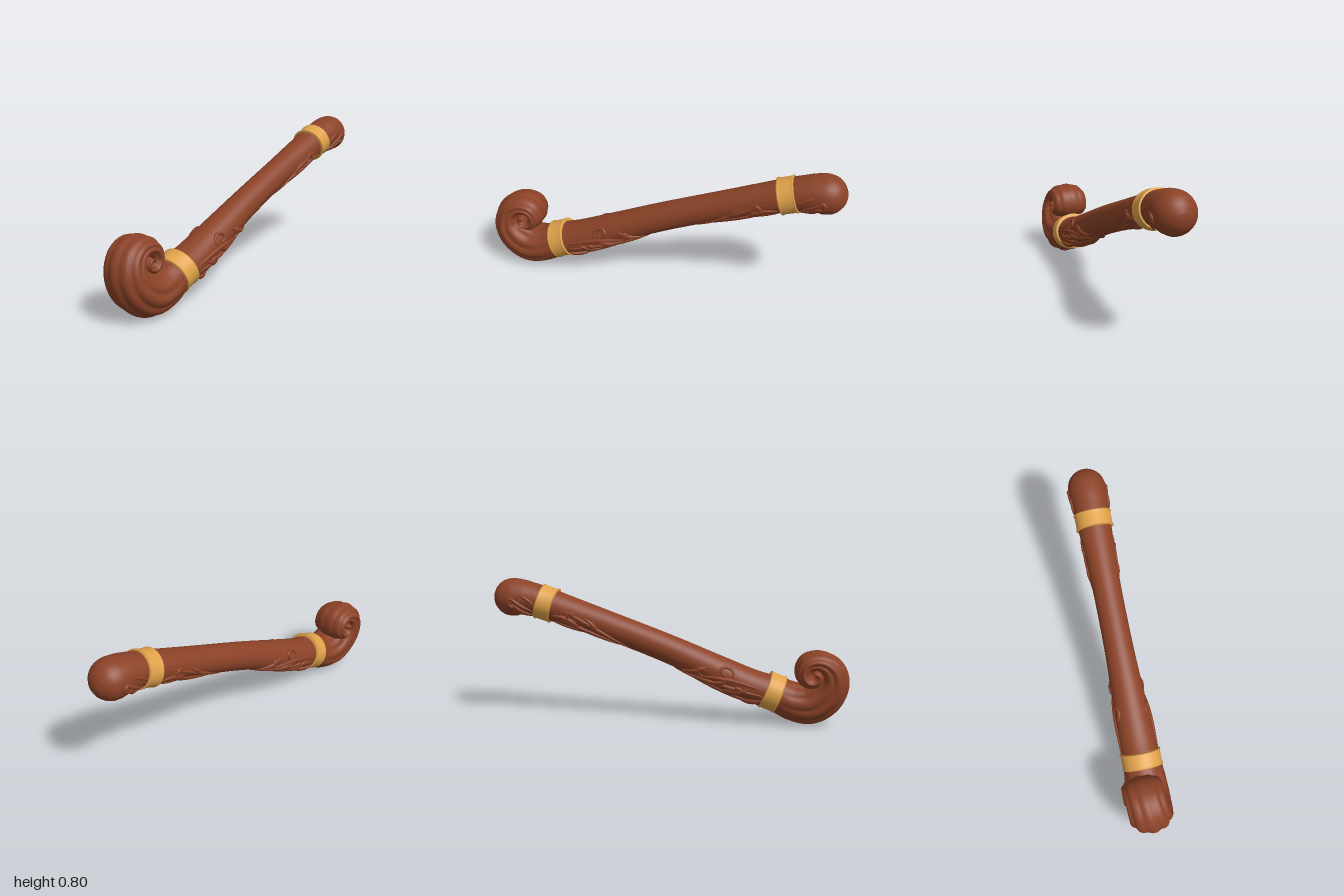
import * as THREE from 'three';

const wood = new THREE.MeshStandardMaterial({ color: 0x8b4227 });
wood.name = 'carved wood';
const brass = new THREE.MeshStandardMaterial({ color: 0xe0a24a });
brass.name = 'brass';

// Stations along the staff: x, y, z, in-plane radius, z radius, flute depth
const stations = [];
// Scroll, winding outward from its eye
for (let k = 0; k <= 8; k++) {
  const t = k / 8, angle = (30 + 444 * t) * Math.PI / 180, r = 0.004 + 0.07 * t;
  stations.push([-0.8 + r * Math.cos(angle), 0.297 + r * Math.sin(angle), -0.03,
    0.001 + 0.057 * Math.pow(t, 0.8), 0.114 - 0.008 * t, 0.06 * t]);
}
// Crook
stations.push(
  [-0.888, 0.325, -0.024, 0.074, 0.11, 0.06],
  [-0.905, 0.255, -0.013, 0.092, 0.117, 0.06],
  [-0.872, 0.18, -0.003, 0.11, 0.122, 0.06],
  [-0.79, 0.124, 0.005, 0.117, 0.121, 0.06],
  [-0.7, 0.127, 0.01, 0.108, 0.116, 0.04]);
const shaftStart = stations.length - 1;
// Shaft
stations.push(
  [-0.6, 0.168, 0.01, 0.098, 0.108, 0],
  [-0.48, 0.205, 0.009, 0.092, 0.104, 0],
  [-0.25, 0.302, 0.007, 0.086, 0.093, 0],
  [0, 0.41, 0.006, 0.08, 0.082, 0],
  [0.33, 0.535, 0.005, 0.079, 0.08, 0],
  [0.55, 0.612, 0.005, 0.083, 0.088, 0],
  [0.7, 0.66, 0.006, 0.09, 0.096, 0],
  [0.78, 0.684, 0.007, 0.092, 0.1, 0]);
// Knob, rounded like a ball
stations.push([0.84, 0.694, 0.007, 0.1, 0.105, 0]);
for (const deg of [0, 25, 45, 65, 78, 90]) {
  const a = deg * Math.PI / 180, r = Math.max(0.001, 0.107 * Math.cos(a));
  stations.push([0.887 + 0.107 * Math.sin(a), 0.693 - 0.02 * Math.sin(a), 0.007, r, r, 0]);
}
const centre = new THREE.CatmullRomCurve3(stations.map(s => new THREE.Vector3(s[0], s[1], s[2])));
const radii = new THREE.CatmullRomCurve3(
  stations.map(s => new THREE.Vector3(s[3], s[4], s[5])), false, 'catmullrom', 0.5);

// Point on the staff's surface: angle 0 is the top, PI / 2 the front, PI the underside
function surfacePoint(t, angle) {
  const c = centre.getPoint(t), r = radii.getPoint(t), d = centre.getTangent(t);
  const len = Math.hypot(d.x, d.y) || 1;
  const flute = 1 + r.z * (Math.abs(Math.cos(5 * angle + t * 9)) - 0.6) * 1.6;
  const a = Math.max(r.x, 0.0005) * flute * Math.cos(angle);
  const b = Math.max(r.y, 0.0005) * flute * Math.sin(angle);
  return new THREE.Vector3(c.x - d.y / len * a, c.y + d.x / len * a, c.z + b);
}

// Grid of cross-section loops, closed around
function loft(rows, cols) {
  const pos = [], index = [];
  for (let i = 0; i <= rows; i++) {
    for (let j = 0; j < cols; j++) {
      pos.push(...surfacePoint(i / rows, j / cols * Math.PI * 2).toArray());
      if (i === rows) continue;
      const a = i * cols + j, b = i * cols + (j + 1) % cols;
      index.push(a, b, a + cols, b, b + cols, a + cols);
    }
  }
  const g = new THREE.BufferGeometry();
  g.setAttribute('position', new THREE.Float32BufferAttribute(pos, 3));
  g.setIndex(index);
  g.computeVertexNormals();
  return g;
}

// Curve parameter of the shaft at a given x
function paramAtX(x) {
  let lo = shaftStart / (stations.length - 1), hi = 1;
  for (let i = 0; i < 30; i++) {
    const mid = (lo + hi) / 2;
    if (centre.getPoint(mid).x < x) lo = mid; else hi = mid;
  }
  return lo;
}

// Raised tapering strand following [x, angle in degrees] points on the shaft
function strand(points, width, side) {
  const path = new THREE.CatmullRomCurve3(points.map(([x, deg]) =>
    surfacePoint(paramAtX(x), side * deg * Math.PI / 180)));
  const rows = 32, cols = 10;
  const g = new THREE.TubeGeometry(path, rows, 1, cols);
  const p = g.attributes.position, v = new THREE.Vector3();
  for (let i = 0; i < p.count; i++) {
    const t = Math.floor(i / (cols + 1)) / rows;
    const c = path.getPointAt(t);
    const w = width * Math.pow(Math.sin(Math.PI * (0.02 + 0.96 * t)), 0.7);
    v.fromBufferAttribute(p, i).sub(c).multiplyScalar(w).add(c);
    p.setXYZ(i, v.x, v.y, v.z);
  }
  g.computeVertexNormals();
  return g;
}

// Leaf line from one point to another, bowed around the shaft
const leaf = (x0, deg0, x1, deg1, bow) => Array.from({ length: 7 }, (_, i) => {
  const t = i / 6;
  return [x0 + (x1 - x0) * t, deg0 + (deg1 - deg0) * t + bow * Math.sin(Math.PI * t)];
});

// Spiral tendril
const curl = (x, deg, size, turn) => Array.from({ length: 12 }, (_, i) => {
  const a = i * 0.62 * turn + 2.6, r = size * (1 - i / 14);
  return [x + r * Math.cos(a), deg + r * Math.sin(a) * 620];
});

// Leaves: x and angle at each end, bow, width
const lowerLeaves = [
  [-0.06, 172, -0.53, 100, -8, 0.014],
  [-0.12, 176, -0.52, 140, 4, 0.015],
  [-0.16, 140, -0.53, 80, -18, 0.012],
  [-0.1, 142, -0.22, 76, 10, 0.013],
  [-0.24, 140, -0.35, 86, 10, 0.016],
  [-0.33, 146, -0.45, 94, 10, 0.017],
  [-0.42, 156, -0.53, 118, 6, 0.017],
  [-0.28, 165, -0.5, 174, 4, 0.012],
];
const upperLeaves = [
  [0.2, 150, 0.6, 82, -4, 0.011],
  [0.25, 160, 0.63, 112, 4, 0.013],
  [0.36, 128, 0.47, 86, -6, 0.012],
  [0.46, 142, 0.64, 120, -18, 0.013],
  [0.44, 168, 0.63, 150, 0, 0.011],
];
const knobLeaves = [
  [0.74, 128, 0.89, 82, 8, 0.011],
  [0.73, 150, 0.87, 106, 14, 0.014],
  [0.74, 98, 0.83, 76, 0, 0.01],
];
// Tendrils: x, angle, size, winding direction
const tendrils = [
  [-0.31, 72, 0.045, 1],
  [-0.2, 104, 0.034, -1],
  [-0.4, 122, 0.032, 1],
  [0.53, 96, 0.035, -1],
  [0.87, 100, 0.03, -1],
];

export function createModel() {
  const model = new THREE.Group();
  model.name = 'carvedStaff';
  const add = (name, geometry, material, parent = model) => {
    const mesh = new THREE.Mesh(geometry, material);
    mesh.name = name;
    parent.add(mesh);
    return mesh;
  };

  // Scroll, shaft and knob in one sweep
  add('shaftWithScrollAndKnob', loft(360, 80), wood);

  // Carvings, mirrored front and back
  for (const side of [1, -1]) {
    const carvings = new THREE.Group();
    carvings.name = side > 0 ? 'frontCarvings' : 'backCarvings';
    for (const [x0, deg0, x1, deg1, bow, width] of [...lowerLeaves, ...upperLeaves, ...knobLeaves]) {
      add('leaf', strand(leaf(x0, deg0, x1, deg1, bow), width, side), wood, carvings);
    }
    for (const [x, deg, size, turn] of tendrils) {
      add('tendril', strand(curl(x, deg, size, turn), 0.0105, side), wood, carvings);
    }
    model.add(carvings);
  }

  // Metal bands with raised rims
  const bands = [
    ['lowerBand', -0.58, 0.178, 0.01, 0.105, 1.07, 21],
    ['upperBand', 0.695, 0.659, 0.006, 0.097, 1.05, 17.5],
  ];
  for (const [name, x, y, z, r, depthRatio, deg] of bands) {
    const profile = [[-0.016, -0.045], [0.003, -0.045], [0.004, -0.038], [0, -0.032],
      [0, 0.032], [0.004, 0.038], [0.003, 0.045], [-0.016, 0.045]];
    const band = add(name, new THREE.LatheGeometry(
      profile.map(([dr, h]) => new THREE.Vector2(r + dr, h)), 64), brass);
    band.position.set(x, y, z);
    band.rotation.z = (deg - 90) * Math.PI / 180;
    band.scale.z = depthRatio;
  }
  return model;
}
